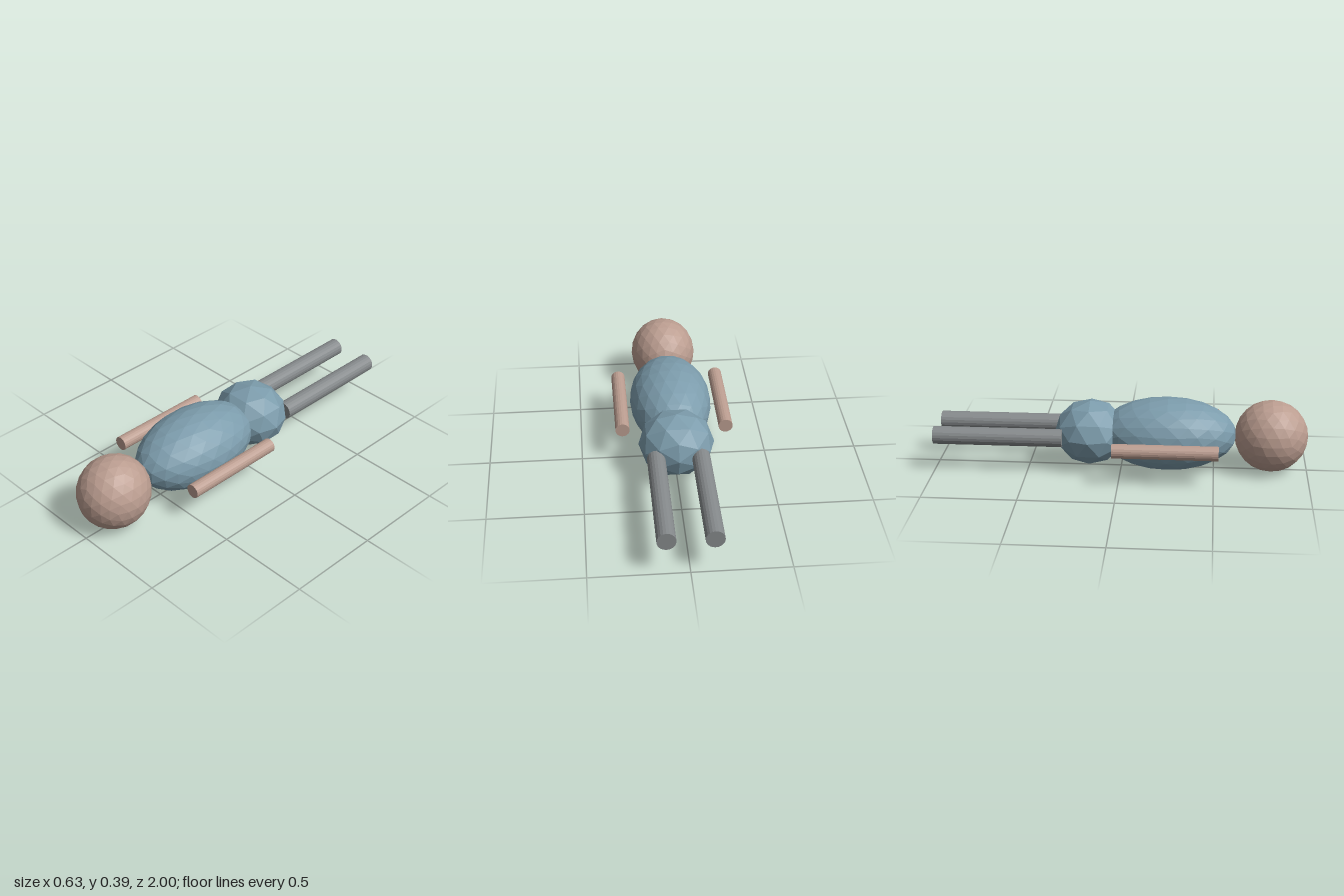
import * as THREE from 'three';

const skin = new THREE.MeshStandardMaterial({ color: 0xbb9d90, flatShading: true });
skin.name = 'skin';
const shirt = new THREE.MeshStandardMaterial({ color: 0x7c9cac, flatShading: true });
shirt.name = 'shirt blue';
const trousers = new THREE.MeshStandardMaterial({ color: 0x85898b, flatShading: true });
trousers.name = 'trouser grey';

const MID_Y = 0.194;

// Icosphere made by repeatedly halving the edges of an icosahedron
function icosphere(levels) {
  const base = new THREE.IcosahedronGeometry(1, 0).getAttribute('position');
  let points = [];
  for (let i = 0; i < base.count; i++) points.push(new THREE.Vector3().fromBufferAttribute(base, i));
  const mid = (a, b) => a.clone().add(b).normalize();
  for (let level = 0; level < levels; level++) {
    const next = [];
    for (let i = 0; i < points.length; i += 3) {
      const [a, b, c] = points.slice(i, i + 3);
      const ab = mid(a, b), bc = mid(b, c), ca = mid(c, a);
      next.push(a, ab, ca, ab, b, bc, ca, bc, c, ab, bc, ca);
    }
    points = next;
  }
  return new THREE.BufferGeometry().setFromPoints(points);
}

function ellipsoid(name, material, levels, radii, z) {
  const geometry = icosphere(levels).scale(...radii);
  geometry.computeVertexNormals();
  const mesh = new THREE.Mesh(geometry, material);
  mesh.name = name;
  mesh.position.set(0, MID_Y, z);
  return mesh;
}

// Straight limb lying along z
function limb(name, material, radius, x, zBack, zFront) {
  const geometry = new THREE.CylinderGeometry(radius, radius, zFront - zBack, 20);
  geometry.rotateX(Math.PI / 2);
  const mesh = new THREE.Mesh(geometry, material);
  mesh.name = name;
  mesh.position.set(x, MID_Y, (zBack + zFront) / 2);
  return mesh;
}

export function createModel() {
  const model = new THREE.Group();
  model.name = 'lyingFigure';

  // Head, torso and hips along the body axis
  model.add(
    ellipsoid('head', skin, 2, [0.184, 0.194, 0.196], 0.804),
    ellipsoid('torso', shirt, 2, [0.223, 0.194, 0.37], 0.25),
    ellipsoid('hips', shirt, 1, [0.201, 0.174, 0.192], -0.167)
  );

  // Mirrored arms and legs
  for (const [side, sign] of [['left', 1], ['right', -1]]) {
    model.add(
      limb(side + 'Arm', skin, 0.038, sign * 0.278, -0.032, 0.523),
      limb(side + 'Leg', trousers, 0.048, sign * 0.117, -1, -0.308)
    );
  }
  return model;
}
